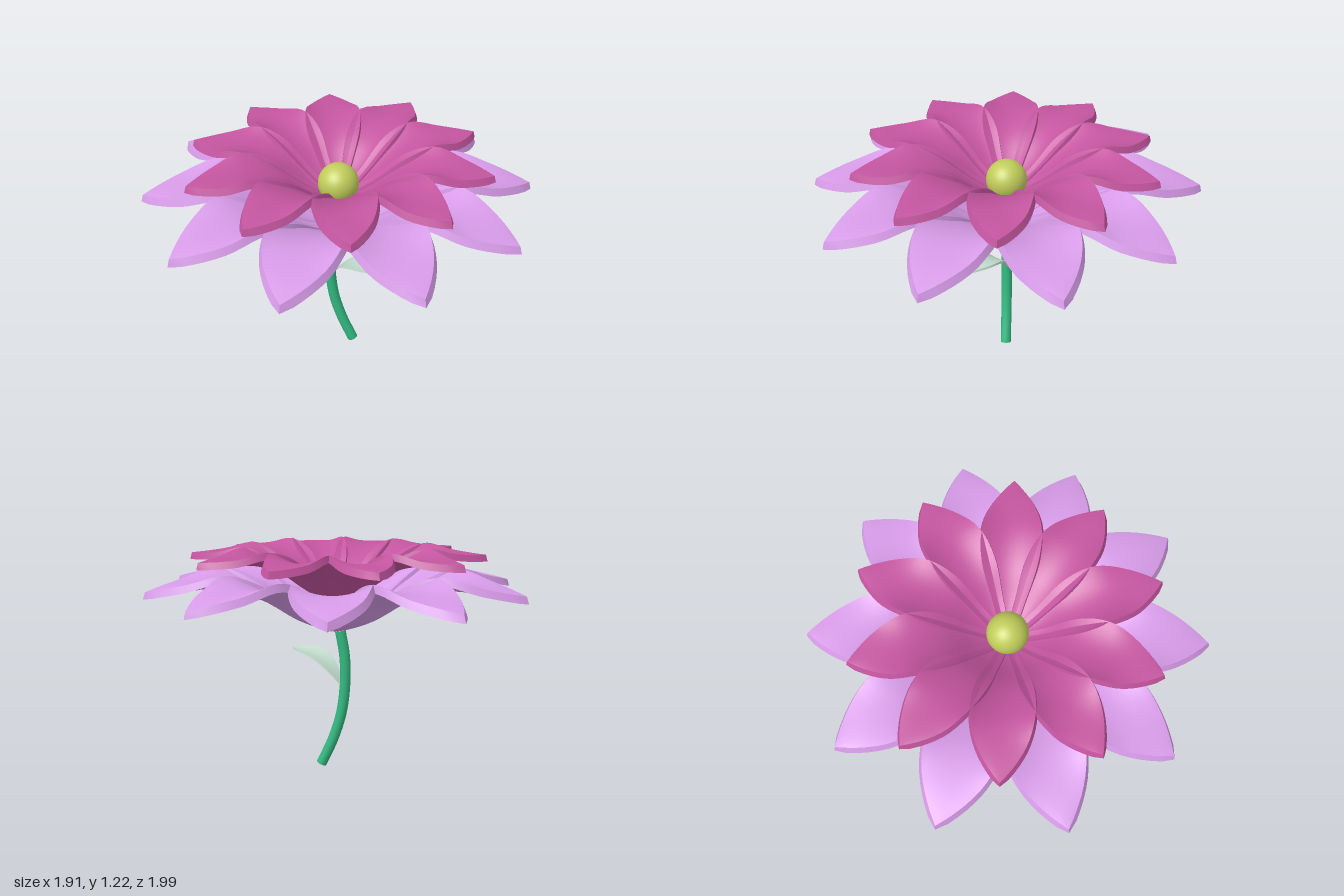
import * as THREE from 'three';
import { toCreasedNormals } from 'three/addons/utils/BufferGeometryUtils.js';

const material = (color) => new THREE.MeshStandardMaterial({ color, side: THREE.DoubleSide });

// Smooth function through values spaced evenly over 0..1, with its bend continued past both ends
function through(values) {
  const beyond = ([a, b, c]) => 3 * a - 3 * b + c;
  const all = [beyond(values), ...values, beyond([...values].reverse())];
  const curve = new THREE.SplineCurve(all.map((v, i) => new THREE.Vector2(i, v)));
  return (t) => curve.getPoint((1 + t * (values.length - 1)) / (values.length + 1)).y;
}

// Solid curved blade growing along +z: centre height, half width and edge lift vary along it
function bladeGeometry({ length, heights, widths, lifts, thick, rim }) {
  const height = through(heights), width = through(widths), lift = through(lifts);
  const rows = 24, cols = 10, ring = 2 * (cols + 1);
  const positions = [], index = [];
  for (let j = 0; j <= rows; j++) {
    const t = j / rows;
    const w = j === rows ? 0 : width(t) * length;
    for (let k = 0; k < ring; k++) {
      const under = k > cols;
      const s = (under ? ring - 1 - k : k) / cols * 2 - 1;
      const spread = under && j < rows ? rim : 0;
      positions.push(
        s * (w + spread),
        height(t) + lift(t) * s * s - (under ? thick : 0),
        t * (length - rim) + (under ? rim * t : 0)
      );
      if (j < rows) {
        const a = j * ring + k, b = j * ring + (k + 1) % ring;
        index.push(a, a + ring, b, b, a + ring, b + ring);
      }
    }
  }
  const geometry = new THREE.BufferGeometry();
  geometry.setAttribute('position', new THREE.Float32BufferAttribute(positions, 3));
  geometry.setIndex(index);
  return toCreasedNormals(geometry, 0.8);
}

// Ring of ten equal petals
function petalRing(name, color, startAngle, step, spec) {
  const ring = new THREE.Group();
  ring.name = name;
  const geometry = bladeGeometry(spec), mat = material(color);
  for (let i = -5; i < 5; i++) {
    const petal = new THREE.Mesh(geometry, mat);
    petal.name = 'petal';
    petal.rotation.y = startAngle + i * step;
    ring.add(petal);
  }
  return ring;
}

export function createModel() {
  const flower = new THREE.Group();
  flower.name = 'flower';
  const petalWidths = [0.03, 0.098, 0.17, 0.187, 0.138, 0];

  // Wide lower petals
  flower.add(petalRing('outerPetals', 0xd79be8, 0, 0.621, {
    length: 0.997, widths: petalWidths, thick: 0.038, rim: 0.012,
    heights: [0.805, 0.87, 0.99, 1.055, 1.055, 1.012],
    lifts: [0.005, 0.022, 0.045, 0.052, 0.005, 0],
  }));

  // Smaller upper petals, set between the lower ones
  flower.add(petalRing('innerPetals', 0xc4559f, Math.PI / 10, Math.PI / 5, {
    length: 0.78, widths: petalWidths, thick: 0.034, rim: 0.01,
    heights: [0.95, 1.02, 1.125, 1.18, 1.19, 1.182],
    lifts: [0.005, 0.025, 0.045, 0.045, 0.005, 0],
  }));

  // Round flower centre
  const centre = new THREE.Mesh(new THREE.SphereGeometry(0.105, 32, 20), material(0xc0cc5a));
  centre.name = 'flowerCentre';
  centre.position.y = 1.035;
  flower.add(centre);

  // Bent stem with a closed foot
  const path = new THREE.CatmullRomCurve3([
    [0.085, 0.013], [0.02, 0.16], [-0.025, 0.31], [-0.045, 0.48], [-0.042, 0.63], [-0.015, 0.79],
  ].map(([x, y]) => new THREE.Vector3(x, y, 0)));
  const stemMaterial = material(0x33b880);
  const stem = new THREE.Mesh(new THREE.TubeGeometry(path, 28, 0.029, 16), stemMaterial);
  stem.name = 'stem';
  const foot = new THREE.Mesh(new THREE.CircleGeometry(0.029, 16), stemMaterial);
  foot.name = 'stemFoot';
  foot.position.copy(path.getPoint(0));
  foot.lookAt(foot.position.clone().sub(path.getTangent(0)));
  flower.add(stem, foot);

  // Single arching leaf
  const leaf = new THREE.Mesh(bladeGeometry({
    length: 0.345, thick: 0.012, rim: 0.002,
    heights: [0.465, 0.55, 0.602, 0.628, 0.638, 0.638],
    widths: [0.02, 0.14, 0.21, 0.215, 0.15, 0],
    lifts: [0, 0.005, 0.01, 0.01, 0.005, 0],
  }), material(0xc4e0d0));
  leaf.name = 'leaf';
  leaf.position.x = -0.035;
  leaf.rotation.y = 1.04;
  flower.add(leaf);

  return flower;
}
